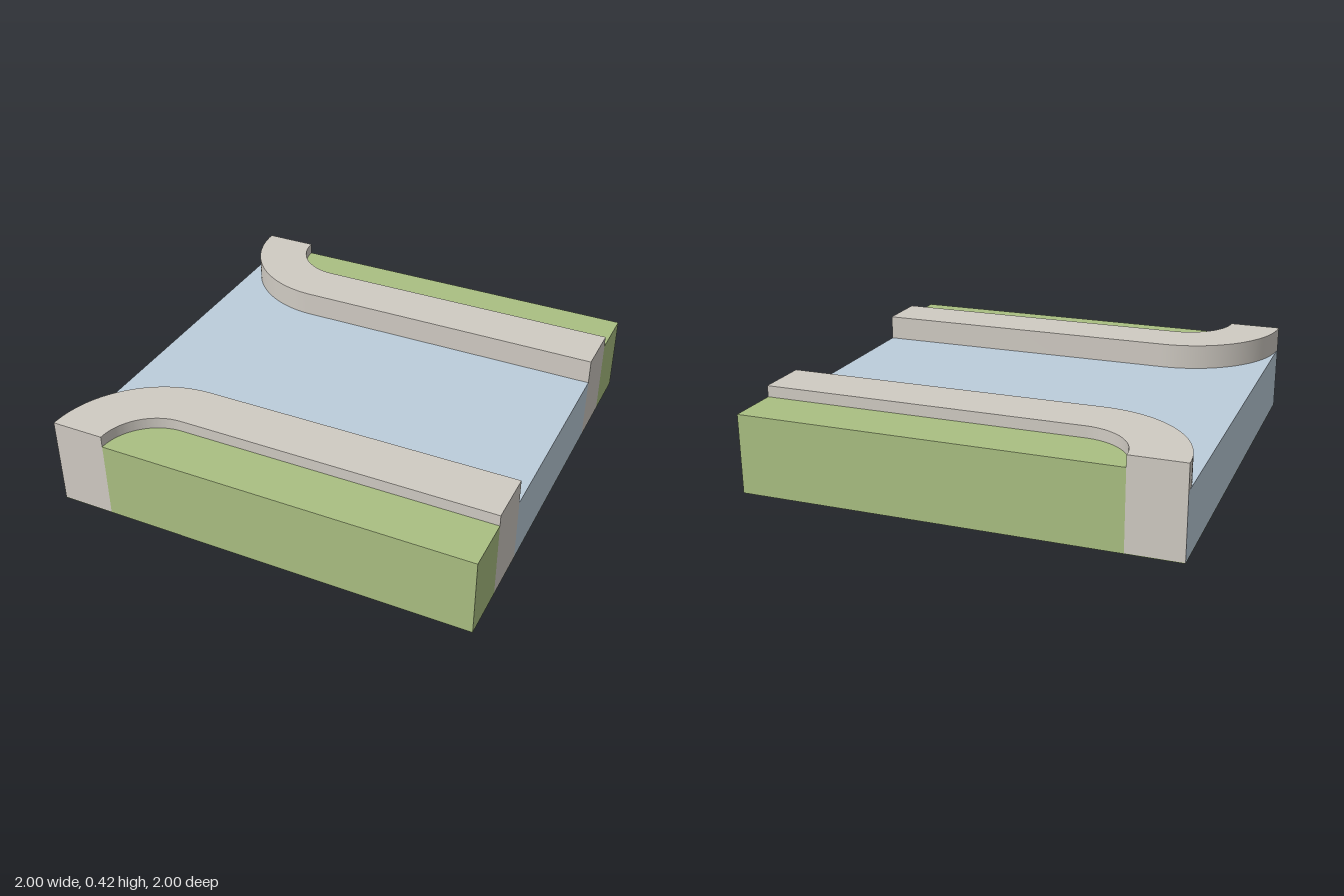
import * as THREE from 'three';
import { toCreasedNormals } from 'three/addons/utils/BufferGeometryUtils.js';

const BASE = 0.003;
const WATER_TOP = 0.305, GRASS_TOP = 0.37, KERB_TOP = 0.423;
const OUTER_R = 0.5, INNER_R = 0.25;

const grass = new THREE.MeshStandardMaterial({ color: 0xaabf82 });
const stone = new THREE.MeshStandardMaterial({ color: 0xd0cbc3 });
const water = new THREE.MeshStandardMaterial({ color: 0xbccddb });

// Plan-view shape (shape y = -z) raised from the base sheet to a given height
function slab(name, shape, top, material) {
  let geo = new THREE.ExtrudeGeometry(shape, { depth: top - BASE, bevelEnabled: false, curveSegments: 24 });
  geo.rotateX(-Math.PI / 2);
  geo.translate(0, BASE, 0);
  geo = toCreasedNormals(geo, 0.6);
  const mesh = new THREE.Mesh(geo, material);
  mesh.name = name;
  return mesh;
}

// Quarter arc round the corner at (-0.5, s), from the outer edge or back to it
function corner(shape, s, r, back = false) {
  const edge = Math.PI, bank = Math.PI + s * Math.PI / 2;
  if (back) shape.absarc(-0.5, s, r, bank, edge, s > 0);
  else shape.absarc(-0.5, s, r, edge, bank, s < 0);
}

function grassShape(s) {
  const p = new THREE.Shape();
  p.moveTo(-0.5 - INNER_R, s);
  corner(p, s, INNER_R);
  p.lineTo(1, s * (1 - INNER_R));
  p.lineTo(1, s);
  p.closePath();
  return p;
}

function kerbShape(s) {
  const p = new THREE.Shape();
  p.moveTo(-1, s);
  corner(p, s, OUTER_R);
  p.lineTo(1, s * (1 - OUTER_R));
  p.lineTo(1, s * (1 - INNER_R));
  p.lineTo(-0.5, s * (1 - INNER_R));
  corner(p, s, INNER_R, true);
  p.closePath();
  return p;
}

function waterShape() {
  const p = new THREE.Shape();
  p.moveTo(-1, -1);
  corner(p, -1, OUTER_R);
  p.lineTo(1, -0.5);
  p.lineTo(1, 0.5);
  p.lineTo(-0.5, 0.5);
  corner(p, 1, OUTER_R, true);
  p.closePath();
  return p;
}

export function createModel() {
  const model = new THREE.Group();
  model.name = 'riverMouthTile';

  // Thin green underside
  const base = new THREE.Mesh(new THREE.BoxGeometry(2, BASE, 2), grass);
  base.position.y = BASE / 2;
  base.name = 'underside';
  model.add(base);

  // Water channel widening toward the right edge
  model.add(slab('water', waterShape(), WATER_TOP, water));

  // Mirrored banks: grass inside a raised curved kerb
  for (const [side, s] of [['front', -1], ['back', 1]]) {
    model.add(slab(side + 'Grass', grassShape(s), GRASS_TOP, grass));
    model.add(slab(side + 'Kerb', kerbShape(s), KERB_TOP, stone));
  }
  return model;
}
